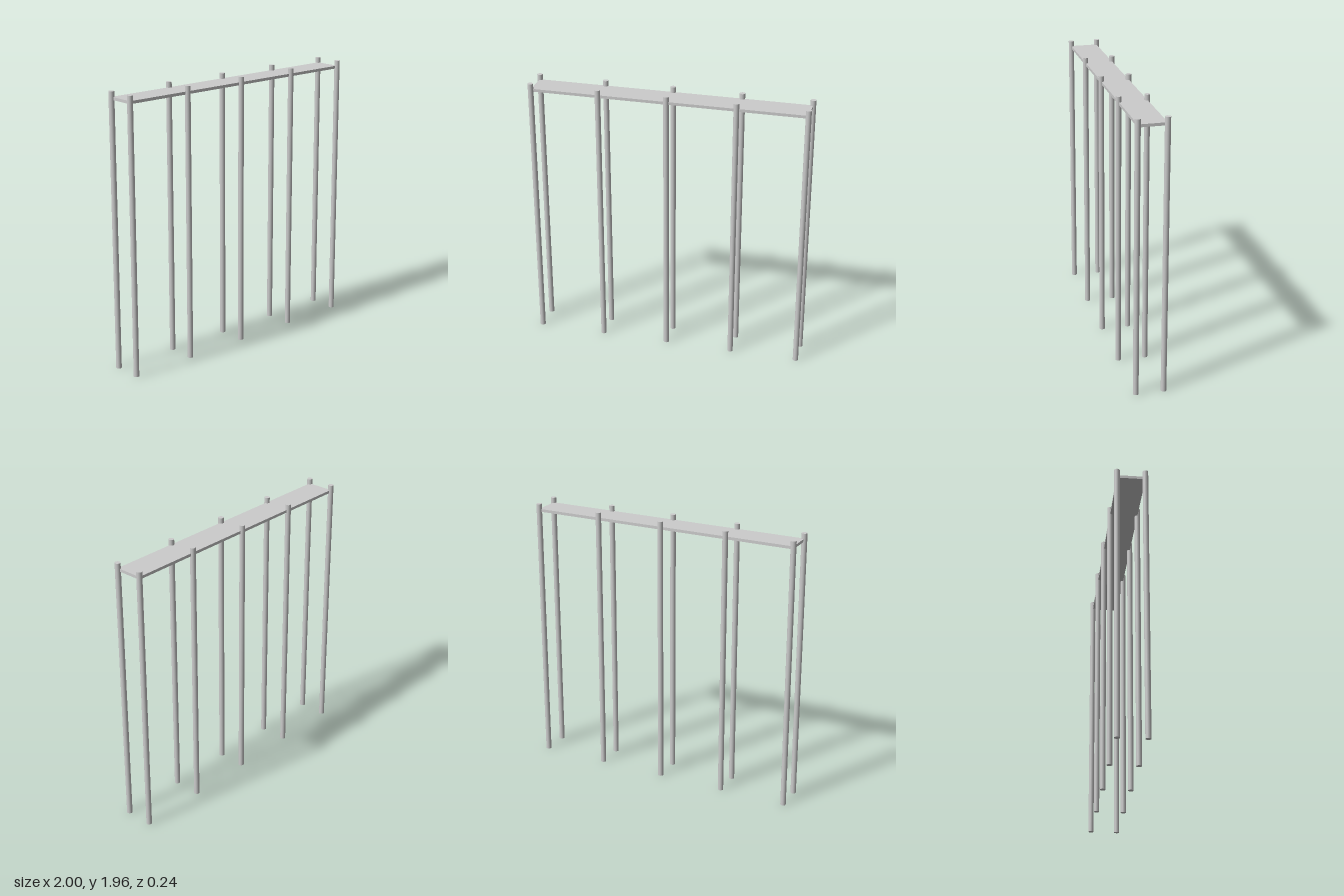
import * as THREE from 'three';

export function createModel() {
  const group = new THREE.Group();
  const material = new THREE.MeshStandardMaterial({ color: 0xcccccc });

  const postRadius = 0.0196, postHeight = 1.961;
  const spacing = 0.4902, halfDepth = 0.098;

  // Two rows of five round posts
  const postGeometry = new THREE.CylinderGeometry(postRadius, postRadius, postHeight, 32);
  for (const [row, z] of [['front', halfDepth], ['back', -halfDepth]]) {
    for (let i = -2; i <= 2; i++) {
      const post = new THREE.Mesh(postGeometry, material);
      post.name = `${row}Post${i + 3}`;
      post.position.set(i * spacing, postHeight / 2, z);
      group.add(post);
    }
  }

  // Thin deck spanning between the post centres, just below their tops
  const deck = new THREE.Mesh(
    new THREE.BoxGeometry(4 * spacing, 0.02, 2 * halfDepth), material);
  deck.name = 'deck';
  deck.position.y = 1.912;
  group.add(deck);

  return group;
}
